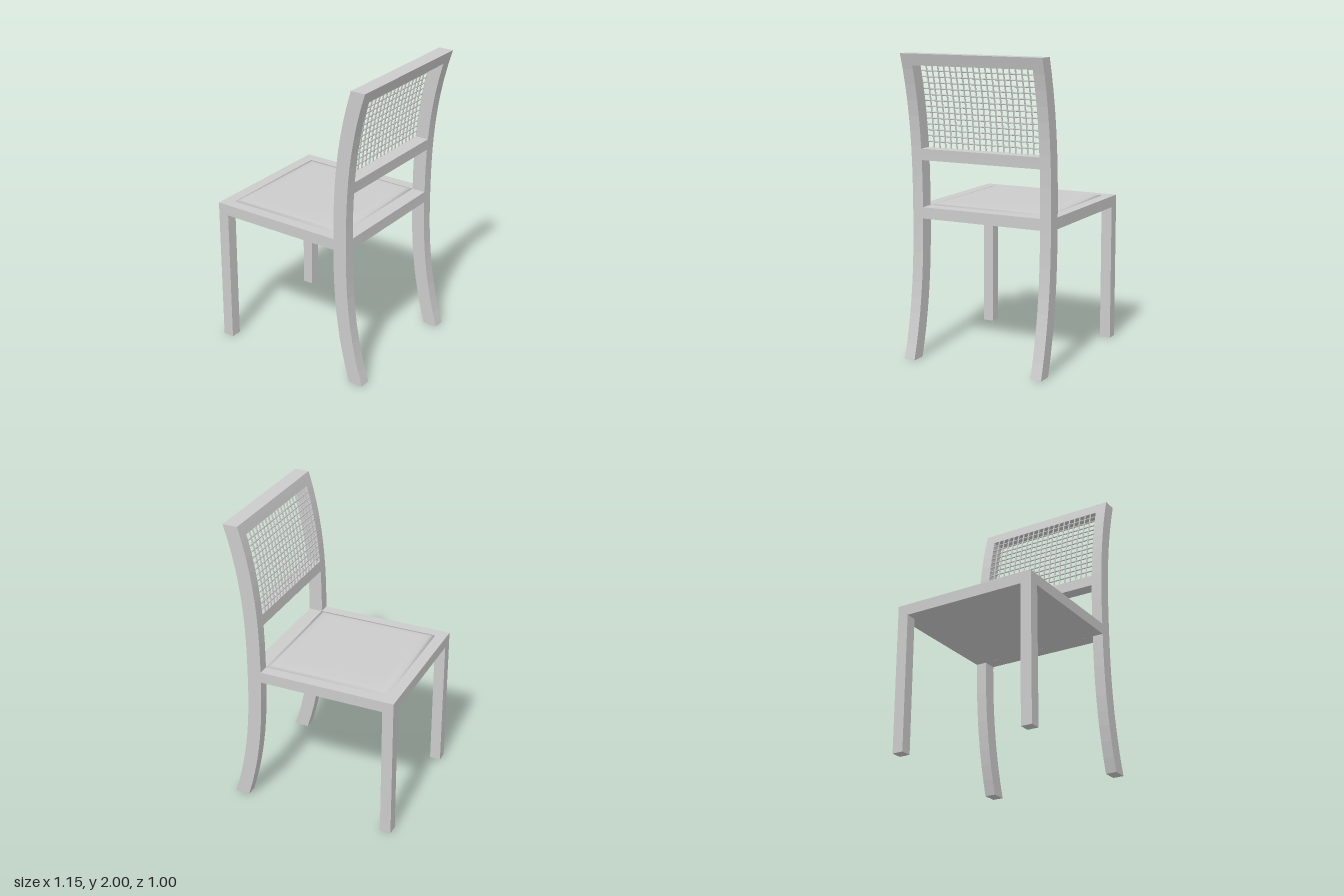
import * as THREE from 'three';

export function createModel() {
  const chair = new THREE.Group();
  const grey = new THREE.MeshStandardMaterial({ color: 0xcccccc });

  const add = (name, geometry, parent = chair) => {
    const mesh = new THREE.Mesh(geometry, grey);
    mesh.name = name;
    parent.add(mesh);
    return mesh;
  };

  // Box given by its minimum and maximum corners
  const block = (name, x0, x1, y0, y1, z0, z1) =>
    add(name, new THREE.BoxGeometry(x1 - x0, y1 - y0, z1 - z0))
      .position.set((x0 + x1) / 2, (y0 + y1) / 2, (z0 + z1) / 2);

  // Front and rear edges of the curved back, by height
  const sweep = y => Math.pow(Math.abs(y - 1), 2.5);
  const frontX = y => 0.35 + 0.125 * sweep(y);
  const backX = y => 0.445 + 0.13 * sweep(y);

  // Slab that follows the curve between two heights, extruded along z
  const curvedSlab = (y0, y1, z0, z1, steps = 2) => {
    const edge = [], rear = [];
    for (let i = 0; i <= steps; i++) {
      const y = y0 + (y1 - y0) * i / steps;
      edge.push(new THREE.Vector2(frontX(y), y));
      rear.unshift(new THREE.Vector2(backX(y), y));
    }
    const geometry = new THREE.ExtrudeGeometry(new THREE.Shape([...edge, ...rear]),
      { depth: z1 - z0, bevelEnabled: false });
    return geometry.translate(0, 0, z0);
  };

  // Legs, back posts and side rails
  for (const [side, z0, z1] of [['left', -0.5, -0.425], ['right', 0.425, 0.5]]) {
    add(side + 'BackPost', curvedSlab(0, 2, z0, z1, 20));
    block(side + 'FrontLeg', -0.575, -0.5, 0, 0.925, z0, z1);
    block(side + 'SeatRail', -0.575, 0.352, 0.925, 1, z0, z1);
  }

  // Cross rails
  block('frontSeatRail', -0.575, -0.5, 0.925, 1, -0.425, 0.425);
  add('rearSeatRail', curvedSlab(0.925, 1, -0.425, 0.425));
  add('lowerBackRail', curvedSlab(1.31, 1.385, -0.425, 0.425));
  add('topBackRail', curvedSlab(1.925, 2, -0.425, 0.425));

  // Seat pad: stacked square rings [inset, height], smooth shaded and closed
  const rings = [[0, 0.925], [0, 1], [0.03, 1.008], [0.08, 1.016]];
  const corners = [[1, 1], [1, -1], [-1, -1], [-1, 1]];
  const points = [], faces = [0, 2, 1, 0, 3, 2];
  rings.forEach(([inset, y], r) => {
    const half = 0.425 - inset;
    corners.forEach(([sx, sz], k) => {
      points.push(-0.075 + sx * half, y, sz * half);
      if (r === 0) return;
      const a = (r - 1) * 4 + k, b = (r - 1) * 4 + (k + 1) % 4;
      faces.push(a, b, b + 4, a, b + 4, a + 4);
    });
  });
  const top = (rings.length - 1) * 4;
  faces.push(top, top + 1, top + 2, top, top + 2, top + 3);
  const pad = new THREE.BufferGeometry();
  pad.setAttribute('position', new THREE.Float32BufferAttribute(points, 3));
  pad.setIndex(faces);
  pad.computeVertexNormals();
  add('seatPad', pad);

  // Open lattice of thin round strands at the front face of the back
  const lattice = new THREE.Group();
  lattice.name = 'backLattice';
  chair.add(lattice);
  const radius = 0.005;
  const strandX = y => frontX(y) + 0.002;
  for (let i = 1; i < 20; i++) {
    const z = -0.425 + 0.85 * i / 20;
    const path = new THREE.CatmullRomCurve3([0, 1, 2, 3, 4].map(k => {
      const y = 1.385 + 0.54 * k / 4;
      return new THREE.Vector3(strandX(y), y, z);
    }));
    add('uprightStrand', new THREE.TubeGeometry(path, 12, radius, 8), lattice);
  }
  for (let i = 1; i < 14; i++) {
    const y = 1.385 + 0.54 * i / 14;
    const strand = new THREE.CylinderGeometry(radius, radius, 0.85, 8).rotateX(Math.PI / 2);
    add('crossStrand', strand, lattice).position.set(strandX(y), y, 0);
  }

  return chair;
}
